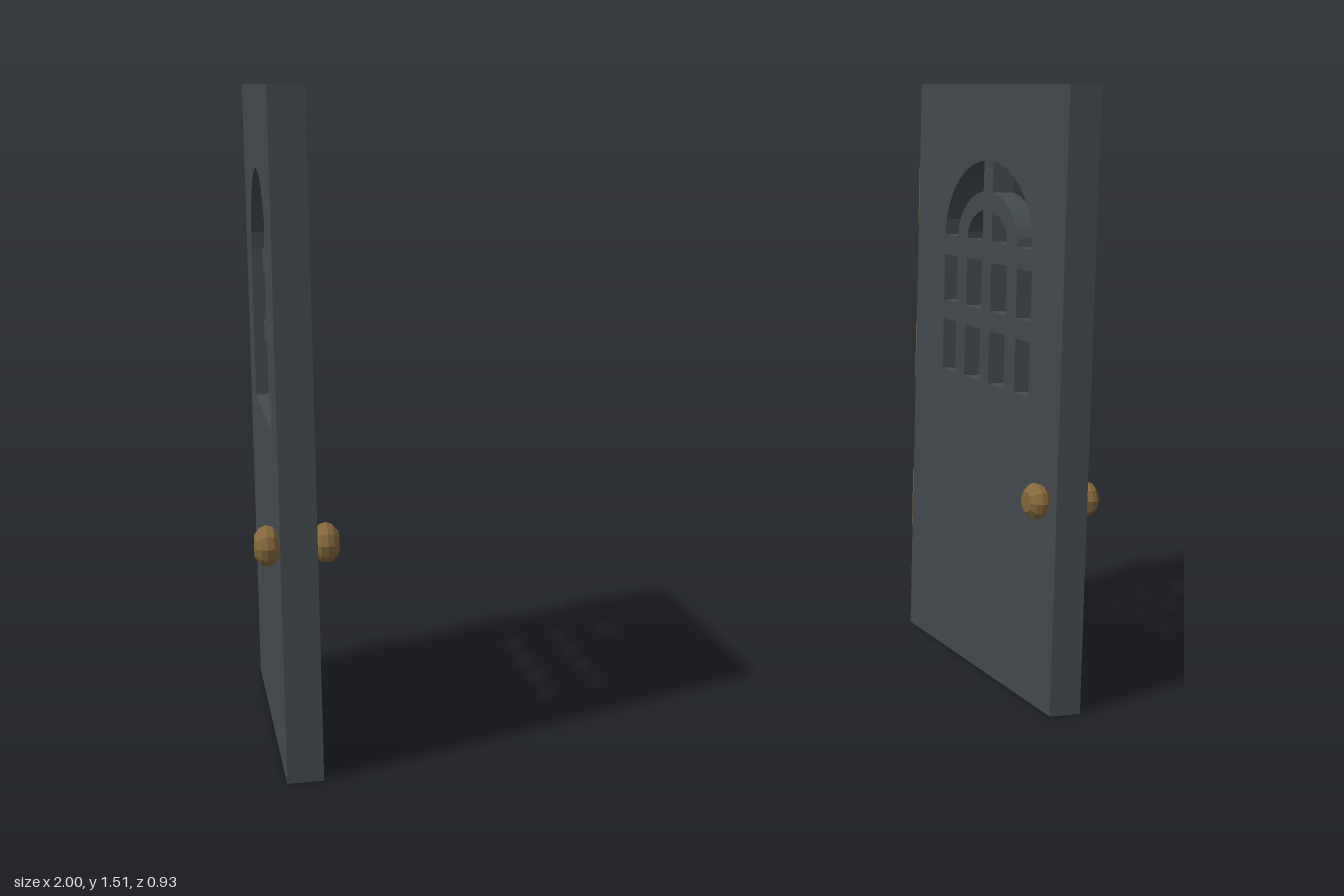
import * as THREE from 'three';

const iron = new THREE.MeshStandardMaterial({ color: 0x434a4e });
iron.name = 'dark slate';
const brass = new THREE.MeshStandardMaterial({ color: 0x86683a });
brass.name = 'aged brass';

const HALF = 0.04;          // half thickness of a door
const CX = -0.034;          // window centre across the door
const SILL = 0.755, SPRING = 1.115;
const FRONT = 0.466, BACK = -0.414;

// Outline with a round head, drawn as (-z, y)
function archShape(Type, hw, rise) {
  const p = new Type();
  p.moveTo(CX - hw, SILL);
  p.lineTo(CX + hw, SILL);
  p.lineTo(CX + hw, SPRING);
  p.absellipse(CX, SPRING, hw, rise, 0, Math.PI, false, 0);
  p.closePath();
  return p;
}

// Extrudes a (-z, y) outline along x, starting at x0
function plate(shape, x0, depth, name) {
  const geo = new THREE.ExtrudeGeometry(shape, { depth, bevelEnabled: false, curveSegments: 8 });
  geo.rotateY(Math.PI / 2);
  geo.translate(x0, 0, 0);
  const mesh = new THREE.Mesh(geo, iron);
  mesh.name = name;
  return mesh;
}

function rect(x0, x1, y0, y1) {
  return new THREE.Shape([[x0, y0], [x1, y0], [x1, y1], [x0, y1]].map(p => new THREE.Vector2(...p)));
}

// Folded hinge leaf, open at its ends
function hingeGeometry(s, y0, y1) {
  let pts = [[0.004, 0], [0.005, 0.035], [0.022, 0.047], [0.022, 0]]
    .map(([u, d]) => [-s * u, BACK - d]);
  if (s < 0) pts = pts.reverse();
  const v = [];
  for (let i = 0; i < 3; i++) {
    const [ax, az] = pts[i], [bx, bz] = pts[i + 1];
    v.push(ax, y0, az, bx, y0, bz, bx, y1, bz, ax, y0, az, bx, y1, bz, ax, y1, az);
  }
  const geo = new THREE.BufferGeometry();
  geo.setAttribute('position', new THREE.Float32BufferAttribute(v, 3));
  geo.computeVertexNormals();
  return geo;
}

// Faceted, flattened knob along +x
function knobGeometry() {
  const profile = [[0.028, 0], [0.041, 0.01], [0.045, 0.025], [0.04, 0.038], [0.026, 0.05], [0, 0.05]];
  const geo = new THREE.LatheGeometry(profile.map(p => new THREE.Vector2(...p)), 10);
  geo.rotateZ(-Math.PI / 2);
  const flat = geo.toNonIndexed();
  flat.computeVertexNormals();
  return flat;
}

// s is the side (+1 or -1) that the outer face points to
function makeDoor(s) {
  const door = new THREE.Group();

  // Slab with arched window opening
  const slab = rect(-FRONT, -BACK, 0, 1.51);
  slab.holes.push(archShape(THREE.Path, 0.2625, 0.205));
  door.add(plate(slab, -HALF, HALF * 2, 'doorSlab'));

  // Window lattice, set back from the outer face
  const depth = 0.055;
  const x0 = s > 0 ? -HALF : HALF - depth;
  const hoop = new THREE.Shape();
  hoop.moveTo(CX + 0.12, SILL);
  hoop.lineTo(CX + 0.18, SILL);
  hoop.lineTo(CX + 0.18, SPRING);
  hoop.absellipse(CX, SPRING, 0.18, 0.127, 0, Math.PI, false, 0);
  hoop.lineTo(CX - 0.18, SILL);
  hoop.lineTo(CX - 0.12, SILL);
  hoop.lineTo(CX - 0.12, SPRING);
  hoop.absellipse(CX, SPRING, 0.12, 0.08, Math.PI, 0, true, 0);
  hoop.closePath();
  door.add(plate(hoop, x0, depth, 'windowHoop'));
  door.add(plate(rect(CX - 0.0275, CX + 0.0275, SILL, 1.32), x0, depth, 'windowCentreBar'));
  for (const [a, b] of [[0.89, 0.94], [1.063, 1.115]])
    door.add(plate(rect(CX - 0.2625, CX + 0.2625, a, b), x0, depth, 'windowCrossBar'));

  // A knob on each face
  for (const k of [-1, 1]) {
    const knob = new THREE.Mesh(knobGeometry(), brass);
    knob.name = 'doorKnob';
    knob.position.set(k * HALF, 0.52, 0.403);
    if (k < 0) knob.rotation.y = Math.PI;
    door.add(knob);
  }

  // Three hinges on the back edge
  for (const y of [0.354, 0.777, 1.205]) {
    const hinge = new THREE.Mesh(hingeGeometry(s, y - 0.079, y + 0.079), brass);
    hinge.name = 'hinge';
    door.add(hinge);
  }
  return door;
}

export function createModel() {
  const model = new THREE.Group();
  model.name = 'doorPair';
  const left = makeDoor(1);
  left.name = 'leftDoor';
  left.position.set(0.907, 0, 0);
  const right = makeDoor(-1);
  right.name = 'rightDoor';
  right.position.set(-0.91, 0, -0.005);
  model.add(left, right);
  return model;
}
